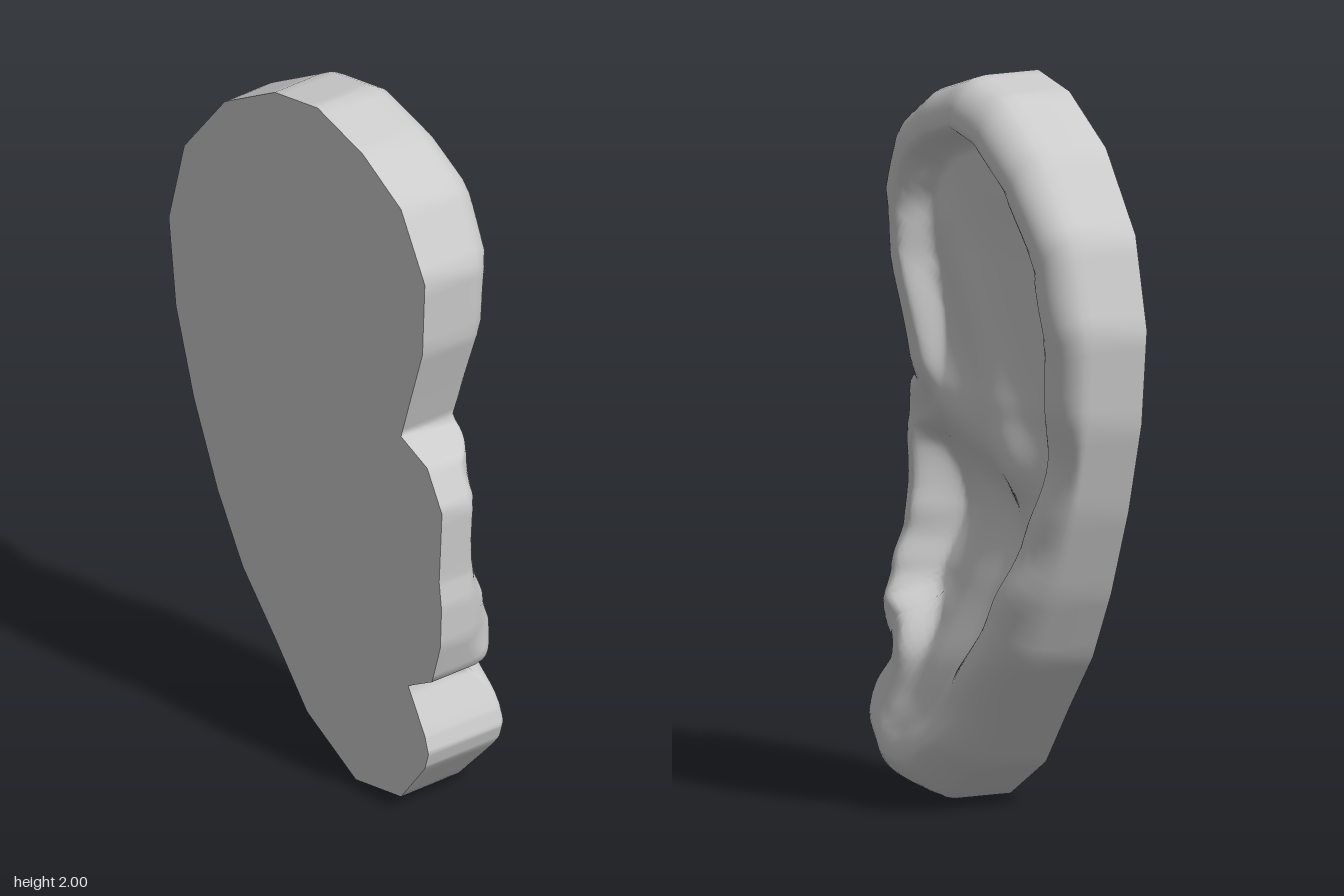
import * as THREE from 'three';

const BACK = 0.165; // flat mounting plane
const CX = 0, CY = 1; // centre of the concentric rings

// outline, counter-clockwise from the top
const outline = [
  [0.05, 2], [-0.13, 1.97], [-0.34, 1.85], [-0.51, 1.64], [-0.575, 1.39], [-0.545, 1.13],
  [-0.47, 0.88], [-0.37, 0.64], [-0.265, 0.45], [-0.13, 0.29], [0.005, 0.12], [0.21, 0],
  [0.4, 0.03], [0.5, 0.16], [0.515, 0.21], [0.5, 0.26], [0.43, 0.385], [0.53, 0.44],
  [0.565, 0.56], [0.57, 0.68], [0.56, 0.76], [0.572, 0.975], [0.51, 1.09], [0.4, 1.14],
  [0.44, 1.27], [0.49, 1.43], [0.5, 1.65], [0.4, 1.84], [0.24, 1.94]
];

const smooth = THREE.MathUtils.smoothstep;
const mix = THREE.MathUtils.lerp;

// piecewise interpolation of [key, value] pairs
function table(rows, v) {
  if (v <= rows[0][0]) return rows[0][1];
  for (let i = 1; i < rows.length; i++) {
    const [a, va] = rows[i - 1], [b, vb] = rows[i];
    if (v <= b) return mix(va, vb, smooth(v, a, b));
  }
  return rows[rows.length - 1][1];
}

// distance from a point to a chain of segments
function chainDistance(x, y, pts, closed) {
  let best = Infinity;
  const n = closed ? pts.length : pts.length - 1;
  for (let i = 0; i < n; i++) {
    const [ax, ay] = pts[i], [bx, by] = pts[(i + 1) % pts.length];
    const dx = bx - ax, dy = by - ay;
    const t = THREE.MathUtils.clamp(((x - ax) * dx + (y - ay) * dy) / (dx * dx + dy * dy), 0, 1);
    best = Math.min(best, Math.hypot(x - ax - t * dx, y - ay - t * dy));
  }
  return best;
}

// crest heights of the outer rim and of the flap beside the canal
const helixCrest = [[0, 0.155], [0.15, 0.165], [0.3, 0.143], [0.6, 0.115], [0.8, 0.065],
  [1, 0.032], [1.2, 0.07], [1.5, 0.092], [1.8, 0.112], [2, 0.105]];
const tragusCrest = [[0.15, 0.165], [0.38, 0.12], [0.5, 0.095], [0.6, 0.06], [0.72, 0.02], [0.85, 0.005],
  [1, 0.01], [1.2, 0.07]];

// folds inside the ear: path, width, height
const folds = [
  { path: [[0.32, 1.14], [0.25, 1.09], [0.08, 1.02], [-0.13, 0.95]], width: 0.12, height: 0.055 },
  { path: [[0.22, 1.55], [0.13, 1.42], [0.03, 1.25], [-0.12, 1.05]], width: 0.1, height: 0.025 }
];

// relief height towards the back, by position
function relief(x, y) {
  const e = chainDistance(x, y, outline, true);
  const side = smooth(x, 0.12, 0.36);
  const crest = mix(table(helixCrest, y), table(tragusCrest, y), side * (1 - smooth(y, 1.1, 1.2)))
    - 0.1 * Math.abs(x - 0.31) * (1 - smooth(y, 0.2, 0.45));
  const flap = smooth(x, 0.4, 0.52) * smooth(y, 0.4, 0.55) * (1 - smooth(y, 1.05, 1.15));
  const lobe = smooth(x, 0.1, 0.4) * (1 - smooth(y, 0.28, 0.42));
  const wall = mix(mix(-0.005, -0.07, flap), mix(0.03, 0.085, smooth(y, 0, 0.16)), lobe);
  // rounded shoulder, closer to a straight bevel on the lobe and the flap
  const round = Math.min(e / 0.1, 1);
  const bevel = Math.max(flap, 1 - smooth(y, 0.1, 0.3)) * 0.5;
  const rim = wall + (crest - wall) * mix(Math.sqrt(1 - (1 - round) ** 2), round, bevel);

  // hollow floor: upper shell, deep bowl, then the rise into the lobe
  let floor = mix(-0.07, 0, smooth(y, 0.85, 1.15)) + 0.02 * smooth(y, 1.5, 1.8);
  floor += 0.05 * smooth(-x, -0.02, 0.28) * (1 - smooth(y, 0.9, 1.1));
  floor -= 0.05 * Math.exp(-(((x - 0.34) / 0.11) ** 2 + ((y - 0.78) / 0.15) ** 2));
  for (const f of folds) {
    const d = chainDistance(x, y, f.path, false) / f.width;
    floor += f.height * Math.exp(-d * d);
  }
  floor = mix(crest - 0.01, floor, smooth(y + 0.25 * x, 0.26, 0.88));
  return mix(rim, floor, smooth(e, 0.12, 0.19));
}

function earSurface() {
  const SUB = 5, RINGS = 60;
  const rim = [];
  outline.forEach(([x, y], i) => {
    const [nx, ny] = outline[(i + 1) % outline.length];
    for (let k = 0; k < SUB; k++) rim.push([mix(x, nx, k / SUB), mix(y, ny, k / SUB)]);
  });
  const n = rim.length, pos = [], index = [];
  // back edge ring, then rings shrinking towards the centre
  rim.forEach(([x, y]) => pos.push(x, y, BACK));
  for (let r = 0; r < RINGS; r++) {
    const s = 1 - (r / RINGS) ** 1.25;
    for (const [px, py] of rim) {
      const x = CX + (px - CX) * s, y = CY + (py - CY) * s;
      pos.push(x, y, -relief(x, y));
    }
  }
  pos.push(CX, CY, -relief(CX, CY));
  const centre = n * (RINGS + 1);
  for (let r = 0; r < RINGS; r++) {
    for (let i = 0; i < n; i++) {
      const j = (i + 1) % n, a = r * n + i, b = r * n + j;
      index.push(a, a + n, b, b, a + n, b + n);
    }
  }
  for (let i = 0; i < n; i++) index.push(RINGS * n + i, centre, RINGS * n + (i + 1) % n);
  const g = new THREE.BufferGeometry();
  g.setAttribute('position', new THREE.Float32BufferAttribute(pos, 3));
  g.setIndex(index);
  g.computeVertexNormals();
  return g;
}

export function createModel() {
  const group = new THREE.Group();
  group.name = 'ear';
  const material = new THREE.MeshStandardMaterial({ color: 0xcccccc });

  // sculpted ear with its side wall
  const ear = new THREE.Mesh(earSurface(), material);
  ear.name = 'earRelief';
  group.add(ear);

  // flat mounting face
  const shape = new THREE.Shape(outline.map(([x, y]) => new THREE.Vector2(x, y)));
  const face = new THREE.Mesh(new THREE.ShapeGeometry(shape), material);
  face.name = 'mountingFace';
  face.position.z = BACK;
  group.add(face);
  return group;
}
